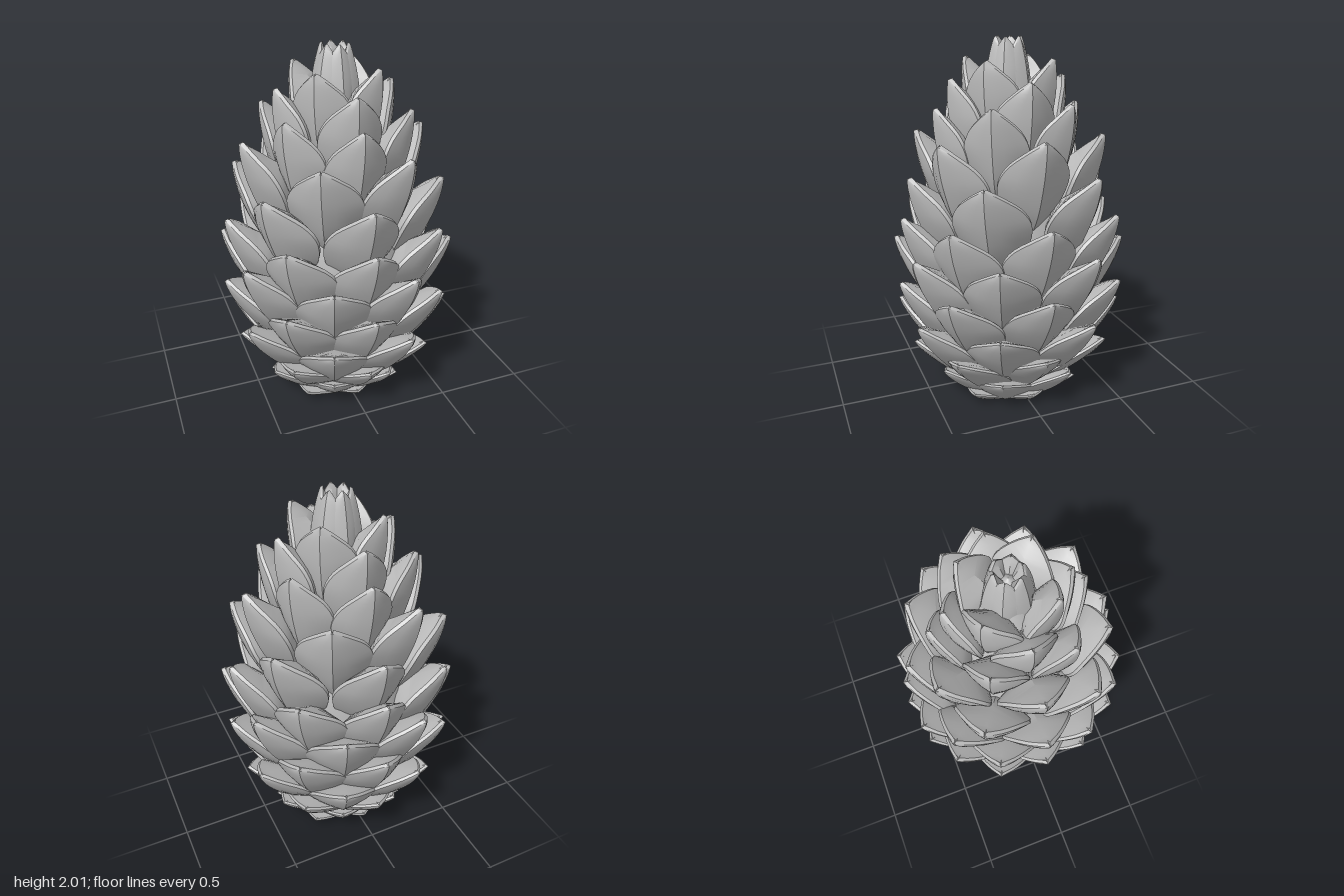
import * as THREE from 'three';
import { toCreasedNormals } from 'three/addons/utils/BufferGeometryUtils.js';

const grey = new THREE.MeshStandardMaterial({ color: 0xbebebe });
grey.name = 'grey';

const rail = pts => new THREE.CatmullRomCurve3(pts.map(p => new THREE.Vector3(...p)));

// Rails of one scale, measured from its tip: x sideways, y up, z outward
const KEEL = rail([[0, 0, 0], [0, -0.05, -0.004], [0, -0.13, -0.022], [0, -0.22, -0.055], [0, -0.35, -0.12], [0, -0.45, -0.2]]);
const EDGE = rail([[0.012, -0.002, -0.01], [0.085, -0.045, -0.05], [0.175, -0.12, -0.125], [0.21, -0.2, -0.175], [0.17, -0.33, -0.23], [0.06, -0.45, -0.26]]);
const RIDGE = rail([[0, -0.002, -0.026], [0, -0.035, -0.09], [0, -0.09, -0.18], [0, -0.155, -0.28], [0, -0.28, -0.35], [0, -0.43, -0.35]]);

// Half of the closed cross-section, from outer keel round the rim to the inner ridge
function halfSection(t) {
  const k = KEEL.getPoint(t), e = EDGE.getPoint(t), r = RIDGE.getPoint(t);
  const bulge = f => k.clone().lerp(e, f).add(new THREE.Vector3(0, 0, 0.32 * e.x * f * (1 - f)));
  const inner = e.clone().add(new THREE.Vector3(-0.006, 0.01, -0.016));
  return [k, bulge(0.33), bulge(0.67), e, inner, r];
}

function scaleGeometry({ y, r, wide, tall, lean }) {
  const STEPS = 16, pos = [], index = [];
  let n = 0;
  for (let i = 0; i <= STEPS; i++) {
    const half = halfSection(i / STEPS);
    const mirrored = half.slice(1, -1).reverse().map(p => new THREE.Vector3(-p.x, p.y, p.z));
    const ring = [...half, ...mirrored];
    n = ring.length;
    for (const p of ring) {
      // lean the scale by a shear and cut it off flat at the ground
      const v = p.y * tall;
      pos.push(p.x * wide, Math.max(0, y + v), r + p.z * Math.min(wide, 1) + v * lean);
    }
  }
  for (let i = 0; i < STEPS; i++) {
    for (let j = 0; j < n; j++) {
      const a = i * n + j, b = i * n + (j + 1) % n;
      index.push(a, a + n, b + n, a, b + n, b);
    }
  }
  for (let j = 1; j < n - 1; j++) {
    const e = STEPS * n;
    index.push(0, j, j + 1, e, e + j + 1, e + j);
  }
  const g = new THREE.BufferGeometry();
  g.setAttribute('position', new THREE.Float32BufferAttribute(pos, 3));
  g.setIndex(index);
  return toCreasedNormals(g, 0.5);
}

// Whorls from top to bottom; half = turned by half a step
const ROWS = [
  { y: 2.0, r: 0.08, n: 6, half: false, wide: 0.44, tall: 0.9, lean: -0.36 },
  { y: 1.89, r: 0.265, n: 4, half: true, wide: 0.8, tall: 1.05, lean: -0.18 },
  { y: 1.79, r: 0.335, n: 4, half: false, wide: 0.84, tall: 1.1, lean: -0.16 },
  { y: 1.64, r: 0.42, n: 6, half: false, wide: 0.82, tall: 1.1, lean: -0.1 },
  { y: 1.48, r: 0.515, n: 6, half: true, wide: 0.95, tall: 1.12, lean: -0.04 },
  { y: 1.28, r: 0.575, n: 6, half: false, wide: 1.0, tall: 1.1, lean: 0 },
  { y: 1.06, r: 0.62, n: 8, half: false, wide: 0.98, tall: 1.05, lean: 0.04 },
  { y: 0.88, r: 0.645, n: 8, half: true, wide: 0.98, tall: 1, lean: 0.1 },
  { y: 0.69, r: 0.645, n: 8, half: false, wide: 0.98, tall: 0.95, lean: 0.18 },
  { y: 0.5, r: 0.635, n: 8, half: true, wide: 0.95, tall: 0.85, lean: 0.3 },
  { y: 0.32, r: 0.575, n: 8, half: false, wide: 0.9, tall: 0.7, lean: 0.52 },
  { y: 0.19, r: 0.47, n: 8, half: true, wide: 0.82, tall: 0.6, lean: 0.55 },
  { y: 0.07, r: 0.4, n: 8, half: false, wide: 0.7, tall: 0.4, lean: 0.9 },
];

export function createModel() {
  const cone = new THREE.Group();
  cone.name = 'pineCone';

  // Solid core behind the scales, with a flat base
  const profile = [[0, 0], [0.28, 0], [0.31, 0.08], [0.37, 0.25], [0.42, 0.5], [0.42, 0.8], [0.37, 1.05],
    [0.29, 1.3], [0.2, 1.55], [0.12, 1.75], [0.06, 1.88], [0, 1.92]];
  const core = new THREE.Mesh(
    new THREE.LatheGeometry(profile.map(p => new THREE.Vector2(...p)), 32), grey);
  core.name = 'core';
  cone.add(core);

  // Whorls of scales
  ROWS.forEach((row, k) => {
    const whorl = new THREE.Group();
    whorl.name = k === 0 ? 'tipBud' : `scaleRow${k}`;
    const geometry = scaleGeometry(row);
    for (let i = 0; i < row.n; i++) {
      const angle = (i + (row.half ? 0.5 : 0)) * 2 * Math.PI / row.n;
      const skew = Math.sin(2 * angle), side = Math.sin(angle) ** 2;
      const scale = new THREE.Mesh(geometry, grey);
      scale.name = 'scale';
      // scales on the diagonals turn slightly to front and back, those at the sides sit higher
      scale.rotation.y = angle - 0.045 * skew;
      if (row.y > 0.2 && row.y < 1.7) scale.position.y = 0.045 * side;
      if (row.y < 1.6) scale.translateZ(0.015 * Math.abs(skew) + 0.012 * side);
      whorl.add(scale);
    }
    cone.add(whorl);
  });
  return cone;
}
